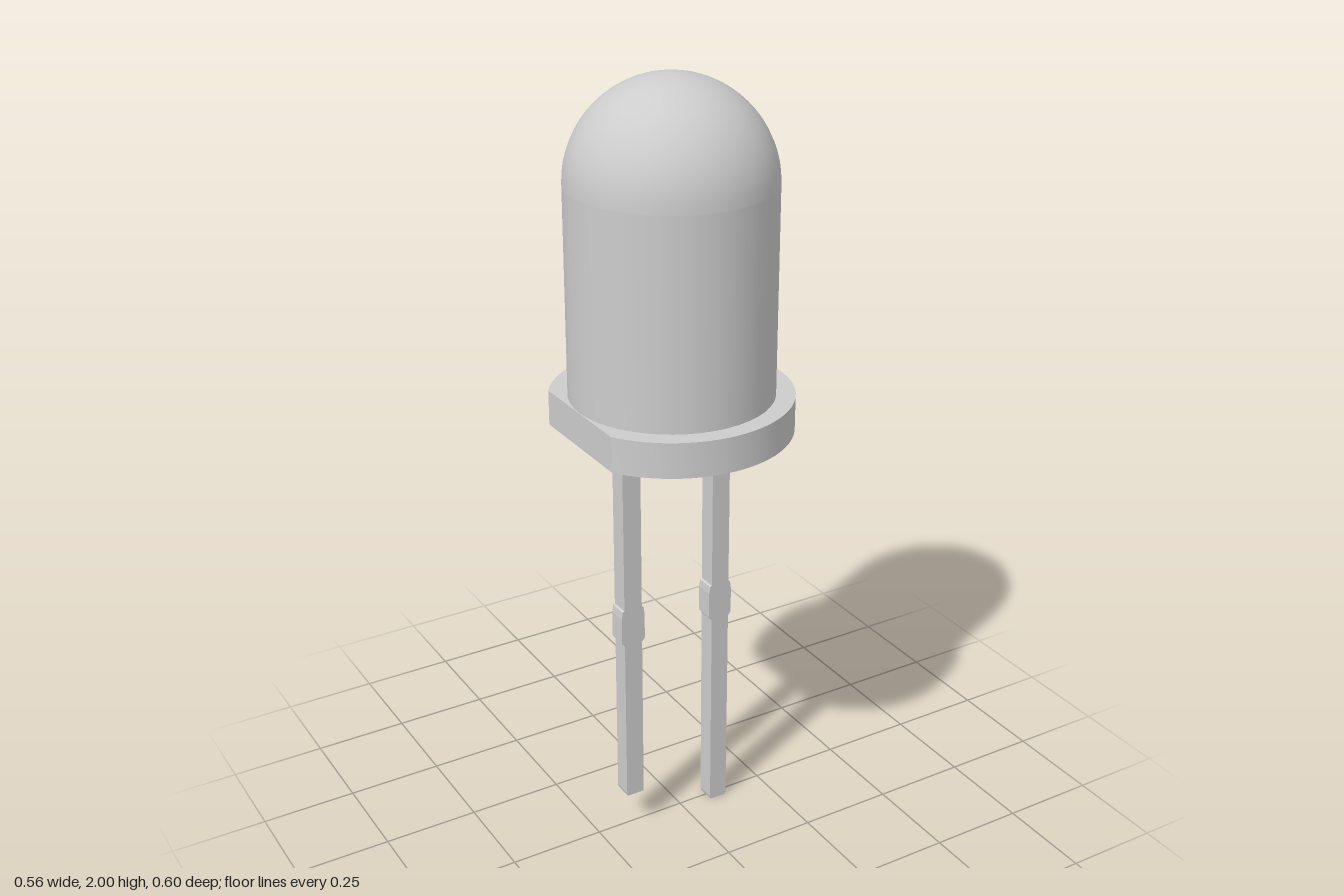
import * as THREE from 'three';
import { toCreasedNormals } from 'three/addons/utils/BufferGeometryUtils.js';

const CENTER_X = -0.023;
const FLANGE_BOTTOM = 1.135;
const FLANGE_TOP = 1.225;

export function createModel() {
  const group = new THREE.Group();
  const grey = new THREE.MeshStandardMaterial({ color: 0xcccccc });
  grey.name = 'light grey';

  const add = (name, geometry, x, y, z) => {
    const mesh = new THREE.Mesh(geometry, grey);
    mesh.name = name;
    mesh.position.set(x, y, z);
    group.add(mesh);
  };

  // Lens: straight cylinder closed by a hemispherical dome
  const radius = 0.253;
  const domeBase = 2 - radius;
  const profile = [new THREE.Vector2(radius, FLANGE_TOP - 0.02), new THREE.Vector2(radius, domeBase - 0.001)];
  for (let i = 0; i <= 16; i++) {
    const a = (i / 16) * Math.PI / 2;
    profile.push(new THREE.Vector2(i === 16 ? 0 : radius * Math.cos(a), domeBase + radius * Math.sin(a)));
  }
  add('lens', new THREE.LatheGeometry(profile, 48), CENTER_X, 0, 0);

  // Flange: disc with one side cut flat
  const cut = Math.acos(0.255 / 0.3);
  const disc = new THREE.Shape();
  disc.absarc(0, 0, 0.3, -Math.PI + cut, Math.PI - cut, false);
  disc.closePath();
  const flange = new THREE.ExtrudeGeometry(disc, {
    depth: FLANGE_TOP - FLANGE_BOTTOM, bevelEnabled: false, curveSegments: 36,
  });
  flange.rotateX(-Math.PI / 2);
  add('flange', toCreasedNormals(flange, 0.4), CENTER_X, FLANGE_BOTTOM, 0);

  // Leads: square pins with a wider stop partway up
  const lead = (name, x, bottom) => {
    const w = 0.025, stop = 0.033, top = FLANGE_BOTTOM + 0.02;
    const right = [
      [w - 0.002, bottom], [w, bottom + 0.008], [w, 0.565], [stop, 0.575],
      [stop, 0.645], [stop - 0.003, 0.665], [w, 0.668], [w, top],
    ];
    const left = right.map(([px, py]) => [-px, py]).reverse();
    const outline = new THREE.Shape([...right, ...left].map(([px, py]) => new THREE.Vector2(px, py)));
    const geometry = new THREE.ExtrudeGeometry(outline, { depth: 2 * w, bevelEnabled: false });
    add(name, geometry, x, 0, -w);
  };
  lead('shortLead', CENTER_X - 0.129, 0.105);
  lead('longLead', CENTER_X + 0.129, 0);

  return group;
}
